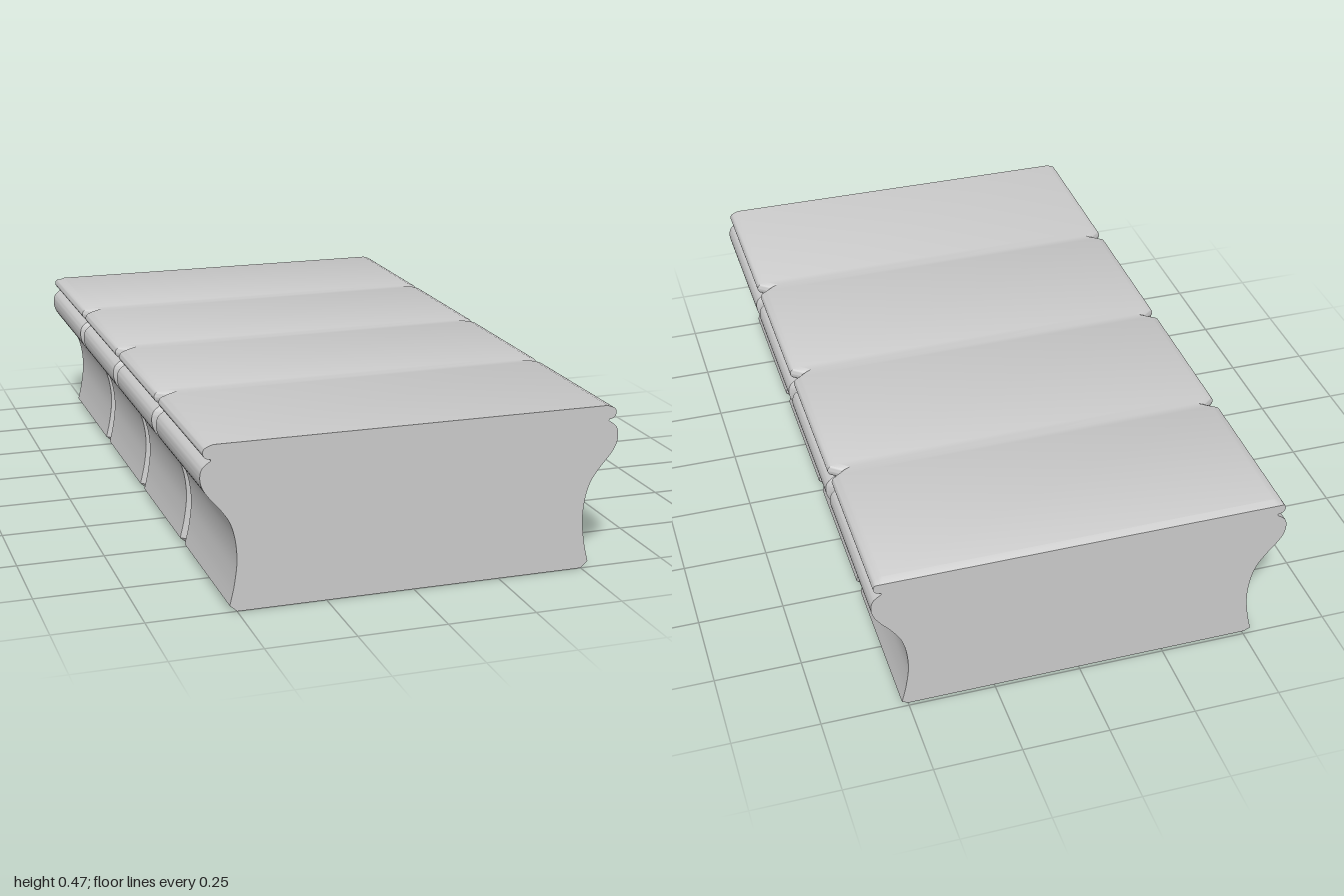
import * as THREE from 'three';
import { toCreasedNormals } from 'three/addons/utils/BufferGeometryUtils.js';

const GROOVE_DEPTH = 0.034, GROOVE_HALF = 0.026;

// Smooth stretch of the moulding through a few [x, y] points
function smooth(points, divisions) {
  return new THREE.SplineCurve(points.map(([x, y]) => new THREE.Vector2(x, y))).getPoints(divisions);
}

// Closed cross-section: the left moulding going up, its mirror image coming down
function crossSection() {
  const side = [
    new THREE.Vector2(0.5, 0),
    ...smooth([[0.52, 0.018], [0.507, 0.075], [0.499, 0.14], [0.503, 0.2], [0.517, 0.25],
      [0.543, 0.29], [0.575, 0.328], [0.592, 0.357], [0.596, 0.385], [0.589, 0.408], [0.566, 0.426]], 44),
    ...smooth([[0.567, 0.43], [0.581, 0.434], [0.588, 0.447], [0.582, 0.461], [0.56, 0.47]], 16),
  ];
  return [...side, ...side.map((p) => new THREE.Vector2(-p.x, p.y)).reverse()];
}

function mouldedBlock() {
  const section = crossSection();

  // Stations from front to back: z, groove inset, end chamfer
  const stations = [[1, 0, 0]];
  for (const z of [0.5, 0, -0.5]) {
    stations.push([z + GROOVE_HALF, 0, 0], [z, GROOVE_DEPTH, 0], [z - GROOVE_HALF, 0, 0]);
  }
  stations.push([-0.98, 0, 0], [-1, 0, 0.01]);

  const n = section.length, positions = [], index = [];
  for (const [z, inset, chamfer] of stations) {
    for (const p of section) {
      positions.push(p.x - Math.sign(p.x) * inset, THREE.MathUtils.clamp(p.y, chamfer, 0.47 - chamfer), z);
    }
  }

  // Skin between neighbouring stations
  for (let s = 0; s < stations.length - 1; s++) {
    for (let i = 0; i < n; i++) {
      const a = s * n + i, b = s * n + (i + 1) % n;
      index.push(a, a + n, b, b, a + n, b + n);
    }
  }

  // End faces
  const back = (stations.length - 1) * n;
  for (const [a, b, c] of THREE.ShapeUtils.triangulateShape(section, [])) {
    index.push(a, b, c, back + a, back + c, back + b);
  }

  const geometry = new THREE.BufferGeometry();
  geometry.setAttribute('position', new THREE.Float32BufferAttribute(positions, 3));
  geometry.setIndex(index);
  return toCreasedNormals(geometry, 0.55);
}

export function createModel() {
  const group = new THREE.Group();
  group.name = 'mouldedSlab';
  const slab = new THREE.Mesh(mouldedBlock(), new THREE.MeshStandardMaterial({ color: 0xcccccc }));
  slab.name = 'groovedBlock';
  group.add(slab);
  return group;
}
